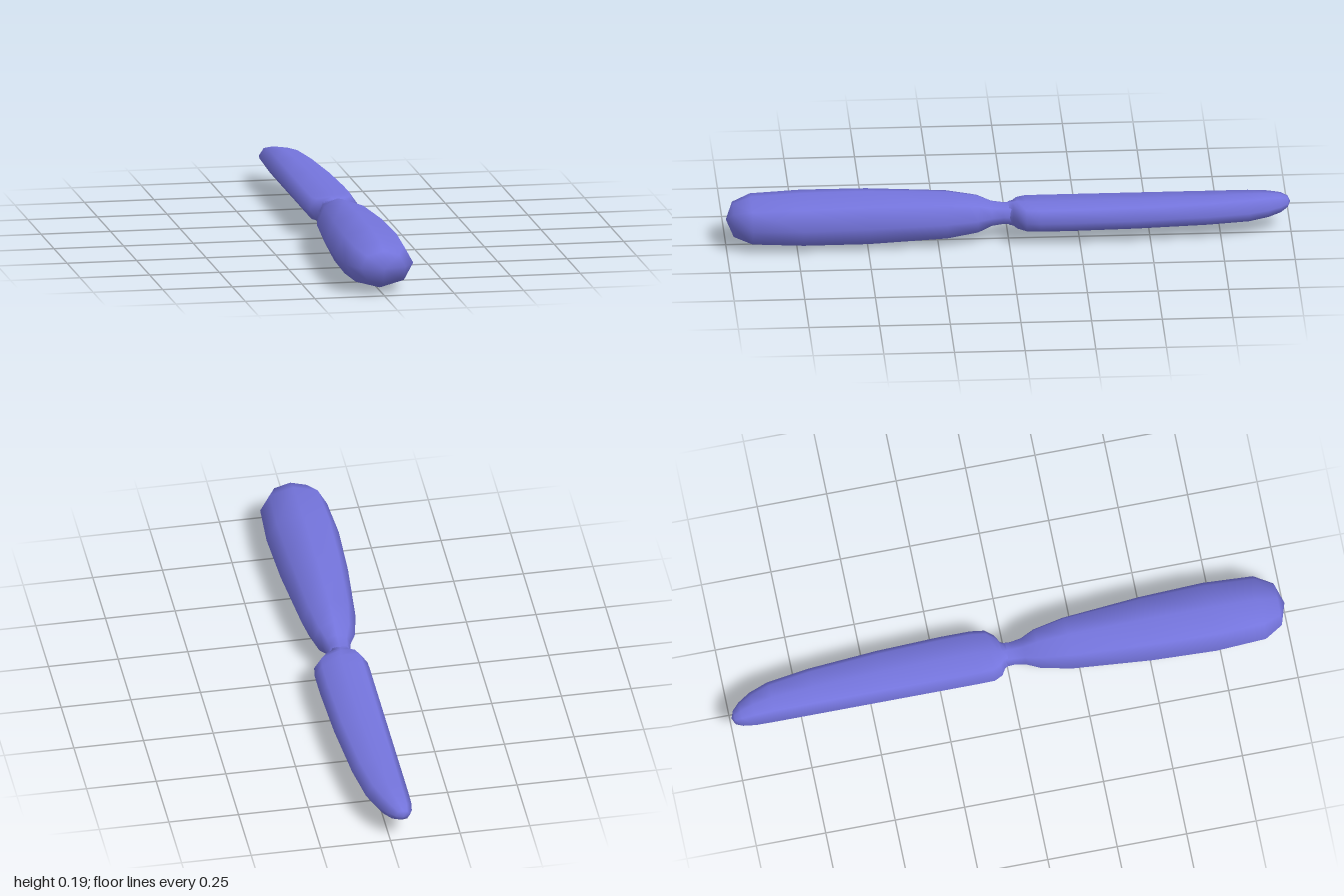
import * as THREE from 'three';

const AXIS_Y = 0.097;

// Skins eight-sided rings along z. Each ring: [z, left edge x, right edge x, half height].
// corner(halfWidth, halfHeight) gives the diagonal point of the section.
function loft(rings, corner, frontTip, backTip) {
  const pos = [], index = [];
  for (const [z, x0, x1, h] of rings) {
    const c = (x0 + x1) / 2, w = (x1 - x0) / 2;
    const [cx, cy] = corner(w, h);
    const section = [[w, 0], [cx, cy], [0, h], [-cx, cy], [-w, 0], [-cx, -cy], [0, -h], [cx, -cy]];
    for (const [x, y] of section) pos.push(c + x, AXIS_Y + y, z);
  }
  for (let i = 0; i < rings.length - 1; i++) {
    for (let j = 0; j < 8; j++) {
      const a = i * 8 + j, b = i * 8 + (j + 1) % 8;
      index.push(a, a + 8, b, b, a + 8, b + 8);
    }
  }
  // Rounded ends closed with a single point
  const close = (tip, start, front) => {
    const n = pos.length / 3;
    pos.push(tip[0], AXIS_Y, tip[1]);
    for (let j = 0; j < 8; j++) {
      const a = start + j, b = start + (j + 1) % 8;
      index.push(n, front ? a : b, front ? b : a);
    }
  };
  if (frontTip) close(frontTip, 0, true);
  if (backTip) close(backTip, (rings.length - 1) * 8, false);
  const g = new THREE.BufferGeometry();
  g.setAttribute('position', new THREE.Float32BufferAttribute(pos, 3));
  g.setIndex(index);
  g.computeVertexNormals();
  return g;
}

export function createModel() {
  const group = new THREE.Group();
  const violet = new THREE.MeshStandardMaterial({ color: 0x7474dc });
  violet.name = 'violet';

  // Handle: elliptical sections, [z, half width, half height]
  const handleRings = [
    [0.975, 0.08, 0.06], [0.91, 0.12, 0.085], [0.73, 0.13, 0.094], [0.5, 0.121, 0.097],
    [0.22, 0.097, 0.087], [0.11, 0.074, 0.069], [0.06, 0.05, 0.046], [0.02, 0.043, 0.04], [-0.012, 0.045, 0.04],
  ].map(([z, w, h]) => [z, -w, w, h]);
  const handle = new THREE.Mesh(
    loft(handleRings, (w, h) => [w * 0.72, h * 0.72], [0, 1], null), violet);
  handle.name = 'handle';

  // Blade: flat faces with rounded rims, straight spine on one side, curved edge on the other
  const bladeRings = [
    [0.0, -0.043, 0.043, 0.039], [-0.015, -0.05, 0.05, 0.041], [-0.03, -0.075, 0.078, 0.045],
    [-0.06, -0.089, 0.103, 0.045], [-0.11, -0.09, 0.11, 0.045], [-0.22, -0.09, 0.11, 0.045],
    [-0.45, -0.09, 0.102, 0.045], [-0.7, -0.09, 0.083, 0.045], [-0.85, -0.09, 0.061, 0.045],
    [-0.92, -0.089, 0.035, 0.04], [-0.965, -0.083, 0.006, 0.031], [-0.99, -0.072, -0.02, 0.018],
  ];
  const blade = new THREE.Mesh(
    loft(bladeRings, (w, h) => [Math.max(w - 0.027, w * 0.6), h * 0.88], null, [-0.048, -1]), violet);
  blade.name = 'blade';

  group.add(handle, blade);
  return group;
}
